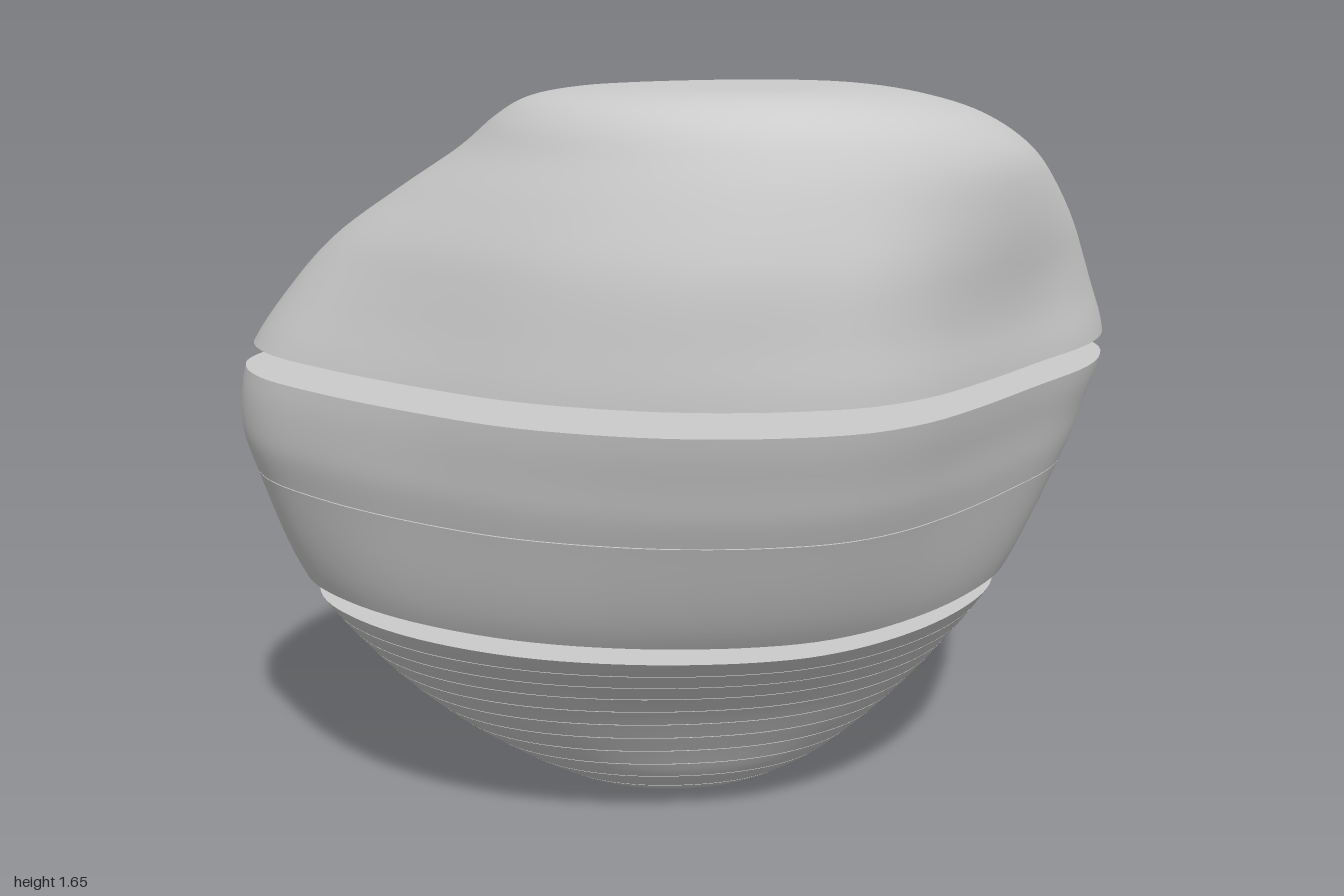
import * as THREE from 'three';

const SIDES = 128;

// Widest cross-section, from +x through the front tip to -x and the notched back.
const OUTLINE = [
  [0.99, -0.2], [0.95, -0.05], [0.87, 0.09], [0.7, 0.28], [0.5, 0.5], [0.38, 0.61], [0.25, 0.68],
  [0.1, 0.7], [-0.05, 0.69], [-0.2, 0.65], [-0.4, 0.55], [-0.6, 0.38], [-0.8, 0.17], [-0.94, -0.02],
  [-0.99, -0.2], [-0.93, -0.41], [-0.8, -0.58], [-0.66, -0.675], [-0.53, -0.705], [-0.35, -0.68],
  [-0.15, -0.63], [-0.03, -0.61], [0.1, -0.63], [0.3, -0.67], [0.43, -0.68], [0.55, -0.66],
  [0.7, -0.6], [0.85, -0.48], [0.95, -0.35],
];

// Extents by height: y, left edge, right edge, back, front.
const LEVELS = [
  [0.0, -0.1, 0.08, -0.3, -0.1],
  [0.02, -0.25, 0.22, -0.38, 0.0],
  [0.05, -0.33, 0.31, -0.43, 0.04],
  [0.1, -0.42, 0.39, -0.48, 0.09],
  [0.2, -0.57, 0.51, -0.525, 0.16],
  [0.35, -0.73, 0.65, -0.565, 0.28],
  [0.55, -0.88, 0.79, -0.63, 0.49],
  [0.8, -0.975, 0.915, -0.68, 0.62],
  [0.92, -1.0, 0.96, -0.693, 0.665],
  [1.06, -0.975, 1.0, -0.705, 0.705],
  [1.2, -0.88, 0.96, -0.685, 0.7],
  [1.32, -0.77, 0.91, -0.66, 0.69],
  [1.43, -0.62, 0.83, -0.605, 0.66],
  [1.52, -0.49, 0.74, -0.52, 0.625],
  [1.59, -0.41, 0.62, -0.41, 0.58],
  [1.63, -0.34, 0.49, -0.28, 0.52],
  [1.65, -0.23, 0.36, -0.13, 0.44],
  [1.655, -0.1, 0.22, 0.0, 0.32],
];

const step = THREE.MathUtils.smoothstep;
const mix = THREE.MathUtils.lerp;

// Outline scaled to a unit shape around its widest line
const unitOutline = new THREE.CatmullRomCurve3(
  OUTLINE.map(([x, z]) => new THREE.Vector3(x / 0.99, 0, (z + 0.2) / (z > -0.2 ? 0.9 : 0.505))), true,
).getSpacedPoints(SIDES).slice(0, SIDES);

// Smooth interpolation of one column of the level table
function sample(column, t) {
  const i = Math.min(Math.floor(t), LEVELS.length - 2);
  const f = t - i;
  const at = (k) => LEVELS[THREE.MathUtils.clamp(k, 0, LEVELS.length - 1)][column];
  const [a, b, c, d] = [at(i - 1), at(i), at(i + 1), at(i + 2)];
  return b + 0.5 * f * (c - a + f * (2 * a - 5 * b + 4 * c - d + f * (3 * (b - c) + d - a)));
}

function levelAtHeight(y) {
  let lo = 0, hi = LEVELS.length - 1;
  for (let k = 0; k < 40; k++) {
    const mid = (lo + hi) / 2;
    if (sample(0, mid) < y) lo = mid; else hi = mid;
  }
  return (lo + hi) / 2;
}

// Roundness exponent of each quarter of the crown: full at the back on +x,
// cut away at the back on -x
function crownExponent(x, z) {
  if (z > 0) return x > 0 ? 1.75 : 1.85;
  return x > 0 ? 2.4 : 1.4;
}

// One closed ring, with its centre point
function ring(t) {
  const [y, left, right, back, front] = [0, 1, 2, 3, 4].map((c) => sample(c, t));
  const cx = 0.11 * step(y, 1.15, 1.6);
  const cz = -0.2 + 0.3 * step(y, 1.25, 1.7);
  const crown = 0.95 * step(y, 1.12, 1.6);
  const tilt = 0.018 * step(y, 0, 0.3) * (1 - step(y, 1.3, 1.6));
  const points = unitOutline.map((p) => {
    const angle = Math.atan2(p.z, p.x);
    const [c, s] = [Math.cos(angle), Math.sin(angle)];
    const base = 1 - step(y, 0, p.z > 0 ? 1.1 : 0.65);
    const n = y > 1.1 ? crownExponent(c, s) : 2.15;
    const r = (Math.abs(c) ** n + Math.abs(s) ** n) ** (-1 / n);
    const round = Math.max(base, crown);
    const u = mix(p.x, r * c, round);
    const v = mix(p.z, r * s, round);
    const x = cx + u * (u > 0 ? right - cx : cx - left);
    const z = cz + v * (v > 0 ? front - cz : cz - back);
    return [x, y + tilt * z, z];
  });
  return { points, centre: [cx, y + tilt * cz, cz] };
}

// A slab between two heights: smooth wall plus cut faces with sharp rims
function slab(name, y0, y1, material, rows) {
  const t0 = levelAtHeight(y0), t1 = levelAtHeight(y1);
  const positions = [], index = [];
  const rings = [];
  for (let i = 0; i <= rows; i++) {
    rings.push(ring(t0 + ((t1 - t0) * i) / rows));
    positions.push(...rings[i].points.flat());
  }
  for (let i = 0; i < rows; i++) {
    for (let j = 0; j < SIDES; j++) {
      const a = i * SIDES + j, b = i * SIDES + ((j + 1) % SIDES);
      index.push(a, a + SIDES, b, b, a + SIDES, b + SIDES);
    }
  }
  const cap = (r, first, up, sharp) => {
    if (sharp) {
      first = positions.length / 3;
      positions.push(...r.points.flat());
    }
    const centre = positions.length / 3;
    positions.push(...r.centre);
    for (let j = 0; j < SIDES; j++) {
      const a = first + j, b = first + ((j + 1) % SIDES);
      index.push(centre, up ? b : a, up ? a : b);
    }
  };
  cap(rings[0], 0, false, y0 > 0);
  cap(rings[rows], rows * SIDES, true, y1 < 1.65);
  const geometry = new THREE.BufferGeometry();
  geometry.setAttribute('position', new THREE.Float32BufferAttribute(positions, 3));
  geometry.setIndex(index);
  geometry.computeVertexNormals();
  const mesh = new THREE.Mesh(geometry, material);
  mesh.name = name;
  return mesh;
}

export function createModel() {
  const model = new THREE.Group();
  model.name = 'slicedBody';
  const material = new THREE.MeshStandardMaterial({ color: 0xcccccc });

  // Stack of thin slices at the bottom
  const slices = new THREE.Group();
  slices.name = 'lowerSlices';
  const count = 11, pitch = 0.0454, gap = 0.002;
  for (let i = 0; i < count; i++) {
    slices.add(slab(`slice${i + 1}`, i * pitch, (i + 1) * pitch - gap, material, i ? 3 : 10));
  }
  model.add(slices);

  // Two thick middle slabs and the domed top
  model.add(slab('lowerMiddleSlab', 0.548, 0.796, material, 10));
  model.add(slab('upperMiddleSlab', 0.798, 1.032, material, 10));
  model.add(slab('topDome', 1.083, 1.655, material, 44));
  return model;
}
